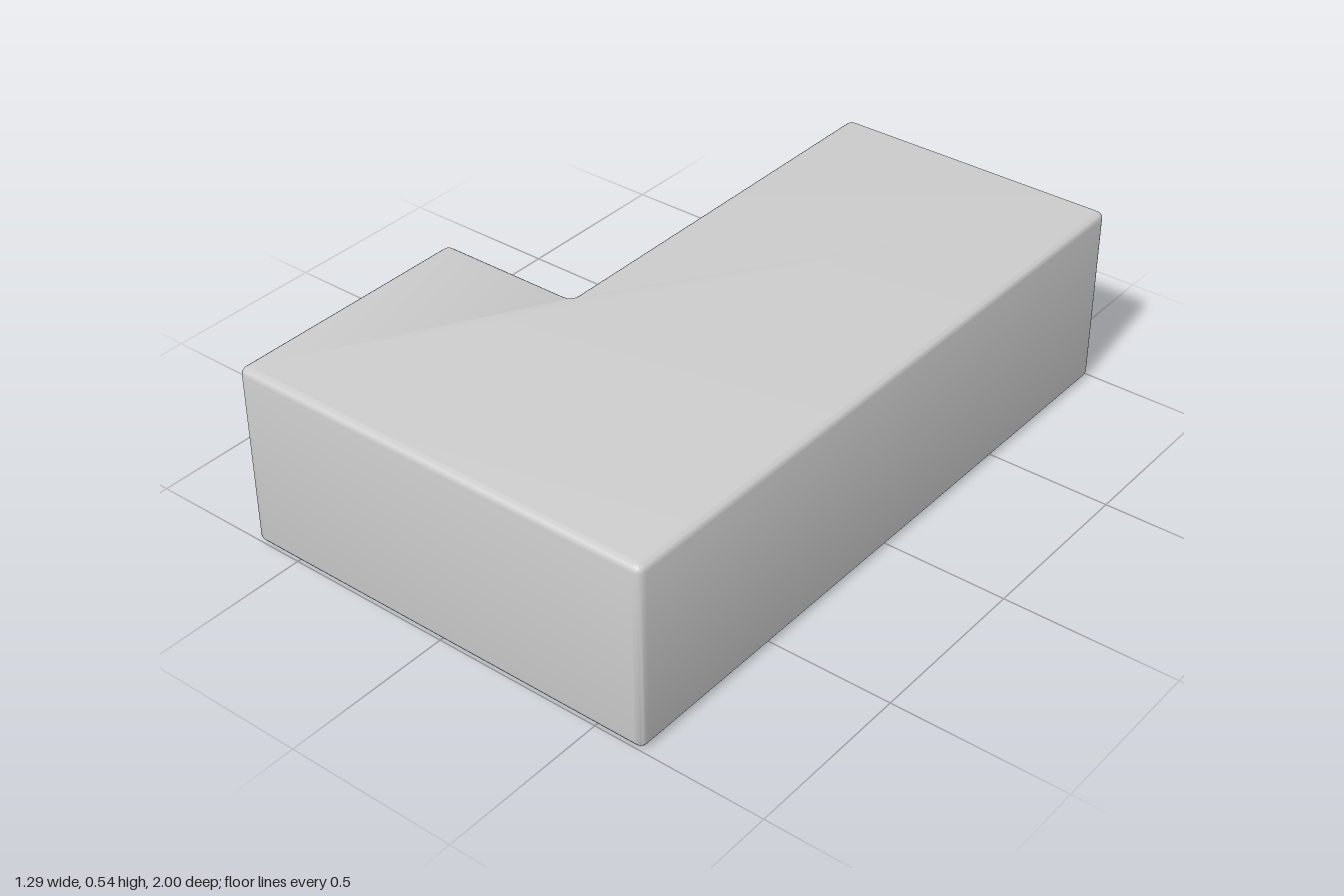
import * as THREE from 'three';
import { toCreasedNormals } from 'three/addons/utils/BufferGeometryUtils.js';

// Closed outline with every corner, convex or concave, rounded by radius r
function roundedOutline(corners, r) {
  const pts = corners.map(([x, y]) => new THREE.Vector2(x, y));
  const n = pts.length;
  const toward = (a, b) => a.clone().add(b.clone().sub(a).setLength(r));
  const shape = new THREE.Shape();
  pts.forEach((p, i) => {
    const start = toward(p, pts[(i + n - 1) % n]);
    const end = toward(p, pts[(i + 1) % n]);
    if (i === 0) shape.moveTo(start.x, start.y);
    else shape.lineTo(start.x, start.y);
    shape.quadraticCurveTo(p.x, p.y, end.x, end.y);
  });
  shape.closePath();
  return shape;
}

export function createModel() {
  const group = new THREE.Group();
  const height = 0.54, bevel = 0.02;

  // L-shaped plan (x, -z): long arm to the back, short foot on the right
  const plan = roundedOutline([
    [-0.645, -1], [0.645, -1], [0.645, 1],
    [-0.21, 1], [-0.21, -0.24], [-0.645, -0.24],
  ], 0.025);

  // Extruded upward with softly rounded top and bottom edges
  const geometry = new THREE.ExtrudeGeometry(plan, {
    depth: height - 2 * bevel,
    bevelEnabled: true,
    bevelThickness: bevel,
    bevelSize: bevel,
    bevelOffset: -bevel,
    bevelSegments: 4,
    curveSegments: 5,
  });
  geometry.translate(0, 0, bevel);
  geometry.rotateX(-Math.PI / 2);

  const block = new THREE.Mesh(
    toCreasedNormals(geometry, 0.7),
    new THREE.MeshStandardMaterial({ color: 0xcccccc })
  );
  block.name = 'lShapedBlock';
  group.add(block);
  return group;
}
